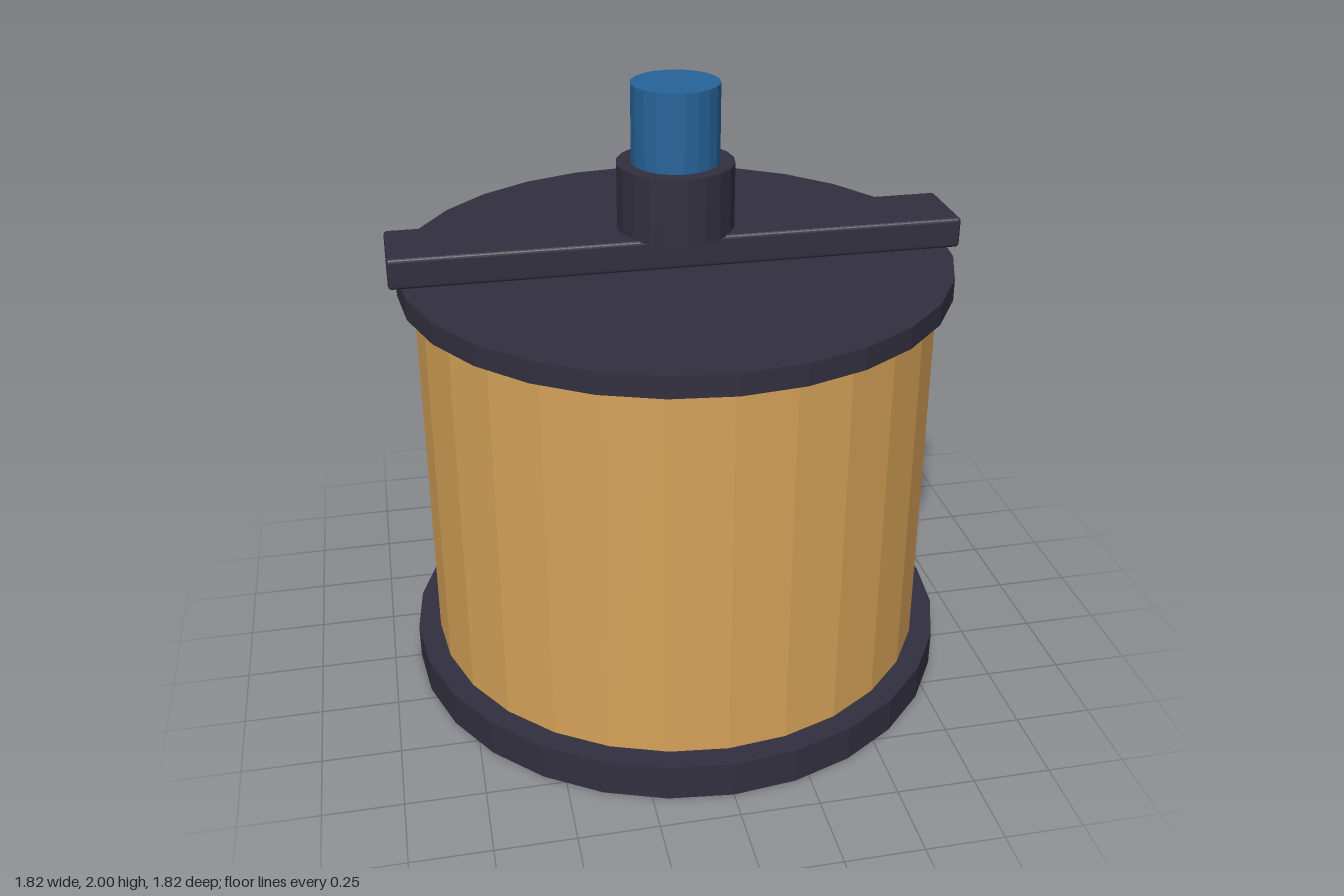
import * as THREE from 'three';
import { RoundedBoxGeometry } from 'three/addons/geometries/RoundedBoxGeometry.js';

export function createModel() {
  const model = new THREE.Group();
  model.name = 'drum';

  const material = (name, color) => {
    const m = new THREE.MeshStandardMaterial({ color, flatShading: true });
    m.name = name;
    return m;
  };
  const dark = material('dark slate', 0x32303f);
  const gold = material('warm tan', 0xd6a258);
  const blue = material('steel blue', 0x27649a);

  const add = (name, geometry, mat, y) => {
    const mesh = new THREE.Mesh(geometry, mat);
    mesh.name = name;
    mesh.position.y = y;
    model.add(mesh);
  };
  // Upright cylinder spanning two heights
  const disc = (name, radius, y0, y1, sides, mat) =>
    add(name, new THREE.CylinderGeometry(radius, radius, y1 - y0, sides), mat, (y0 + y1) / 2);

  // Drum between its base and lid
  disc('base', 0.91, 0, 0.12, 28, dark);
  disc('body', 0.835, 0.12, 1.37, 28, gold);
  disc('lid', 0.885, 1.37, 1.44, 28, dark);

  // Crossbar with softened edges
  add('crossbar', new RoundedBoxGeometry(1.82, 0.1, 0.26, 2, 0.012), dark, 1.49);

  // Hub and shaft
  disc('hub', 0.187, 1.535, 1.75, 20, dark);
  disc('shaft', 0.14, 1.75, 2, 20, blue);

  return model;
}
